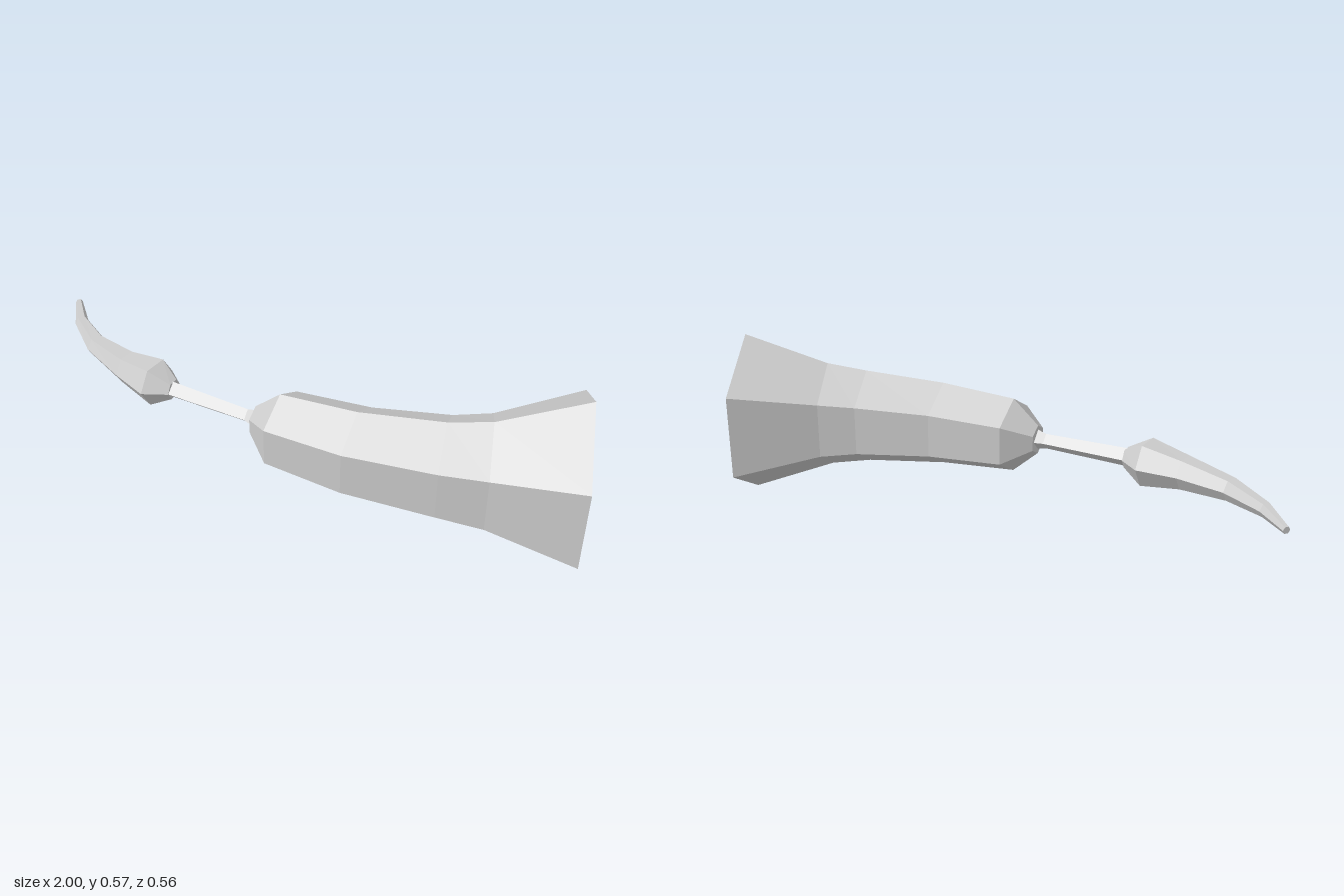
import * as THREE from 'three';

const AXIS_Y = 0.287;

// Lofts faceted polygon rings [x, z, radius, tilt in degrees], listed from -x to +x.
// phase turns each polygon; phase 0 puts a corner straight up.
function loft(rings, sides, phase, capStart, capEnd) {
  const points = rings.map(([x, z, r, tilt]) => {
    const a = THREE.MathUtils.degToRad(tilt);
    return Array.from({ length: sides }, (_, k) => {
      const t = phase + (k / sides) * Math.PI * 2;
      const w = r * Math.sin(t);
      return [x + w * Math.sin(a), AXIS_Y + r * Math.cos(t), z + w * Math.cos(a)];
    });
  });
  const pos = [];
  const tri = (a, b, c) => pos.push(...a, ...b, ...c);
  for (let i = 0; i < points.length - 1; i++) {
    const p = points[i], q = points[i + 1];
    for (let k = 0; k < sides; k++) {
      const n = (k + 1) % sides;
      tri(p[k], p[n], q[n]);
      tri(p[k], q[n], q[k]);
    }
  }
  const first = points[0], last = points[points.length - 1];
  for (let k = 1; k < sides - 1; k++) {
    if (capStart) tri(first[0], first[k + 1], first[k]);
    if (capEnd) tri(last[0], last[k], last[k + 1]);
  }
  // unshared corners give flat facets
  const g = new THREE.BufferGeometry();
  g.setAttribute('position', new THREE.Float32BufferAttribute(pos, 3));
  g.computeVertexNormals();
  return g;
}

export function createModel() {
  const group = new THREE.Group();
  const grey = new THREE.MeshStandardMaterial({ color: 0xcccccc, side: THREE.DoubleSide });
  grey.name = 'light grey';
  const add = (name, geometry) => {
    const mesh = new THREE.Mesh(geometry, grey);
    mesh.name = name;
    group.add(mesh);
  };

  // Hollow six-sided bell, open at the wide end
  add('bell', loft([
    [-0.09, 0.153, 0.05, 0],
    [0, 0.155, 0.13, 0],
    [0.26, 0.148, 0.148, 3],
    [0.53, 0.095, 0.168, 13],
    [0.66, 0.055, 0.188, 18],
    [0.922, -0.045, 0.286, 18.2],
  ], 6, 0, true, false));

  // Thin four-sided stem, slightly flared where it meets the bell
  add('stem', loft([
    [-0.42, 0.14, 0.032, -3],
    [-0.12, 0.151, 0.026, 0],
    [-0.09, 0.154, 0.035, 0],
  ], 4, 0, false, false));

  // Curved six-sided mouthpiece tapering to a small blunt tip
  add('mouthpiece', loft([
    [-0.99, -0.155, 0.012, -45],
    [-0.905, -0.05, 0.024, -35],
    [-0.775, 0.045, 0.038, -23],
    [-0.61, 0.105, 0.056, -10],
    [-0.477, 0.132, 0.08, -8],
    [-0.405, 0.14, 0.034, -3],
  ], 6, Math.PI / 6, true, true));

  return group;
}
